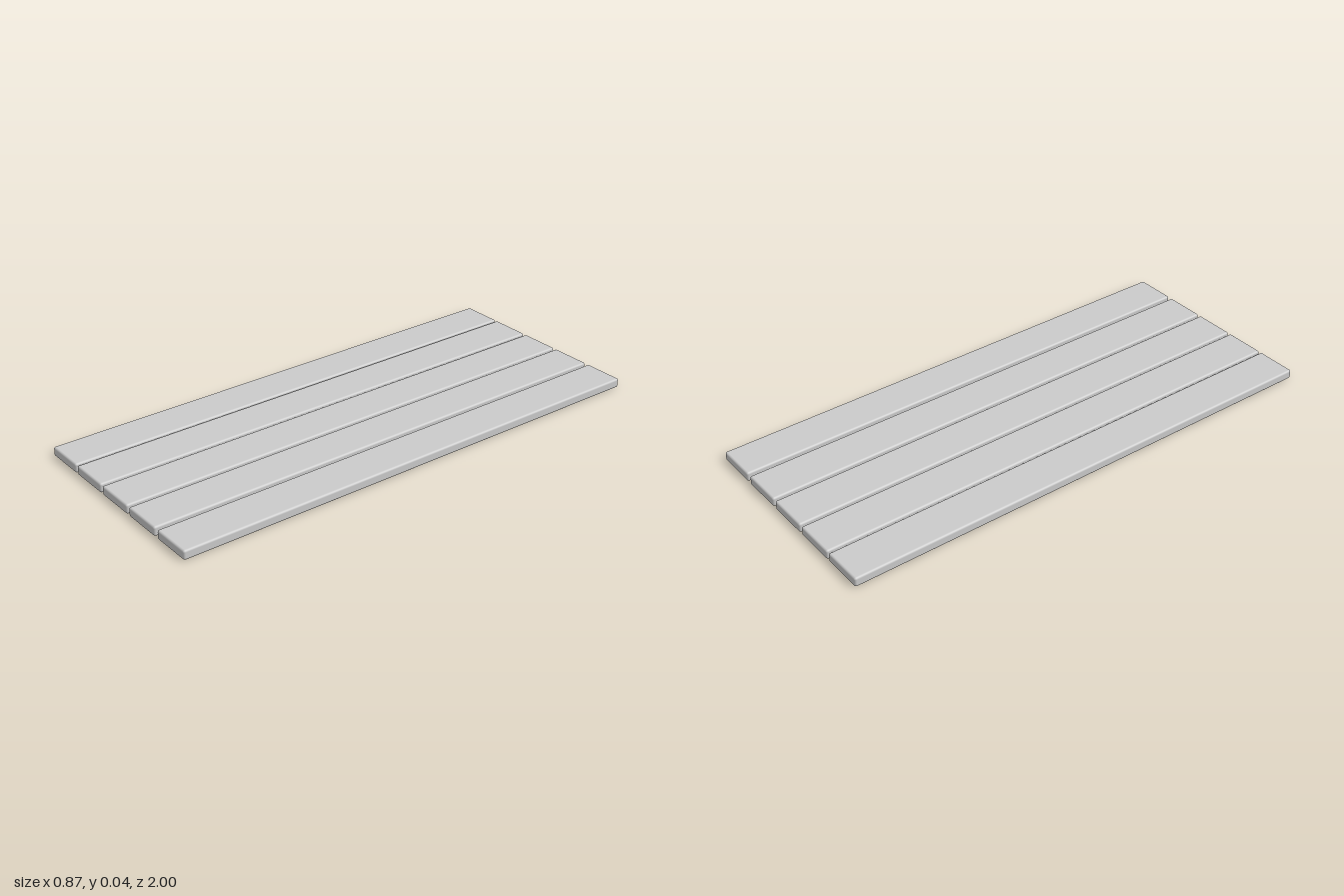
import * as THREE from 'three';
import { RoundedBoxGeometry } from 'three/addons/geometries/RoundedBoxGeometry.js';

export function createModel() {
  const group = new THREE.Group();
  group.name = 'plankPanel';
  const material = new THREE.MeshStandardMaterial({ color: 0xcccccc });

  // Five long boards with softened edges, laid side by side with narrow gaps
  const width = 0.163, height = 0.037, length = 2;
  const board = new RoundedBoxGeometry(width, height, length, 3, 0.008);
  const centres = [-0.352, -0.179, -0.004, 0.172, 0.352];

  centres.forEach((x, i) => {
    const plank = new THREE.Mesh(board, material);
    plank.name = `plank${i + 1}`;
    plank.position.set(x, height / 2, 0);
    group.add(plank);
  });
  return group;
}
